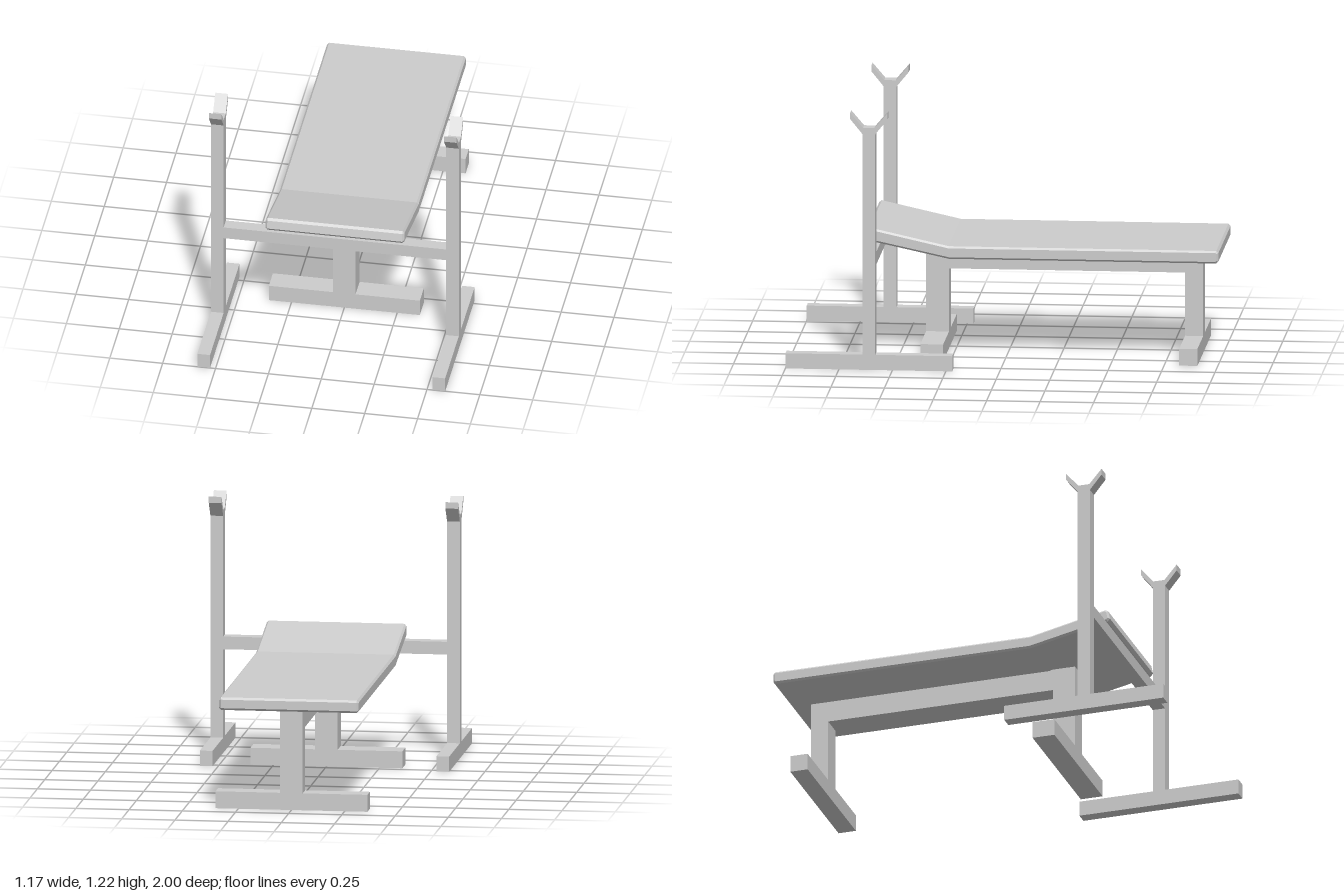
import * as THREE from 'three';

const material = new THREE.MeshStandardMaterial({ color: 0xcccccc, flatShading: true });

// Box given by its min and max on each axis
function box(name, [x0, x1], [y0, y1], [z0, z1]) {
  const mesh = new THREE.Mesh(new THREE.BoxGeometry(x1 - x0, y1 - y0, z1 - z0), material);
  mesh.position.set((x0 + x1) / 2, (y0 + y1) / 2, (z0 + z1) / 2);
  mesh.name = name;
  return mesh;
}

// Side profile of [z, y] points, extruded along x and centred; bevel chamfers the side edges
function sideProfile(name, points, width, bevel = 0) {
  const shape = new THREE.Shape(points.map(([z, y]) => new THREE.Vector2(z, y)));
  const geometry = new THREE.ExtrudeGeometry(shape, {
    depth: width - 2 * bevel,
    bevelEnabled: bevel > 0,
    bevelThickness: bevel,
    bevelSize: bevel,
    bevelOffset: -bevel,
    bevelSegments: 1,
  });
  geometry.translate(0, 0, bevel - width / 2);
  geometry.rotateY(-Math.PI / 2);
  const mesh = new THREE.Mesh(geometry, material);
  mesh.name = name;
  return mesh;
}

export function createModel() {
  const model = new THREE.Group();
  model.name = 'weightBench';

  // Padded top with a raised head end and chamfered edges
  model.add(sideProfile('benchPad', [
    [-1, 0.49], [-0.99, 0.48], [0.26, 0.48], [0.638, 0.561],
    [0.65, 0.575], [0.642, 0.613], [0.63, 0.622], [0.26, 0.54],
    [-0.99, 0.54], [-1, 0.53],
  ], 0.656, 0.009));

  // Bench frame: rail and two T-shaped legs as one side profile, plus feet
  const frame = new THREE.Group();
  frame.name = 'benchFrame';
  frame.add(sideProfile('railAndLegs', [
    [-0.905, 0.08], [-0.82, 0.08], [-0.82, 0.38], [0.283, 0.38],
    [0.283, 0.08], [0.39, 0.08], [0.39, 0.485], [-0.905, 0.485],
  ], 0.106));
  frame.add(box('backFoot', [-0.357, 0.357], [0, 0.08], [-0.905, -0.82]));
  frame.add(box('frontFoot', [-0.357, 0.357], [0, 0.08], [0.283, 0.39]));
  model.add(frame);

  // Barbell rack: an upright, floor foot and forked cradle on each side
  const rack = new THREE.Group();
  rack.name = 'barbellRack';
  for (const [label, side] of [['left', 1], ['right', -1]]) {
    const upright = sideProfile(label + 'Upright', [
      [0.22, 0], [1, 0], [1, 0.072], [0.64, 0.072],
      [0.64, 1.12], [0.697, 1.19], [0.697, 1.22], [0.637, 1.15],
      [0.583, 1.15], [0.523, 1.22], [0.523, 1.19], [0.58, 1.12],
      [0.58, 0.072], [0.22, 0.072],
    ], 0.06);
    upright.position.x = side * 0.556;
    rack.add(upright);
  }
  rack.add(box('crossbar', [-0.526, 0.526], [0.49, 0.55], [0.58, 0.64]));
  model.add(rack);

  return model;
}
